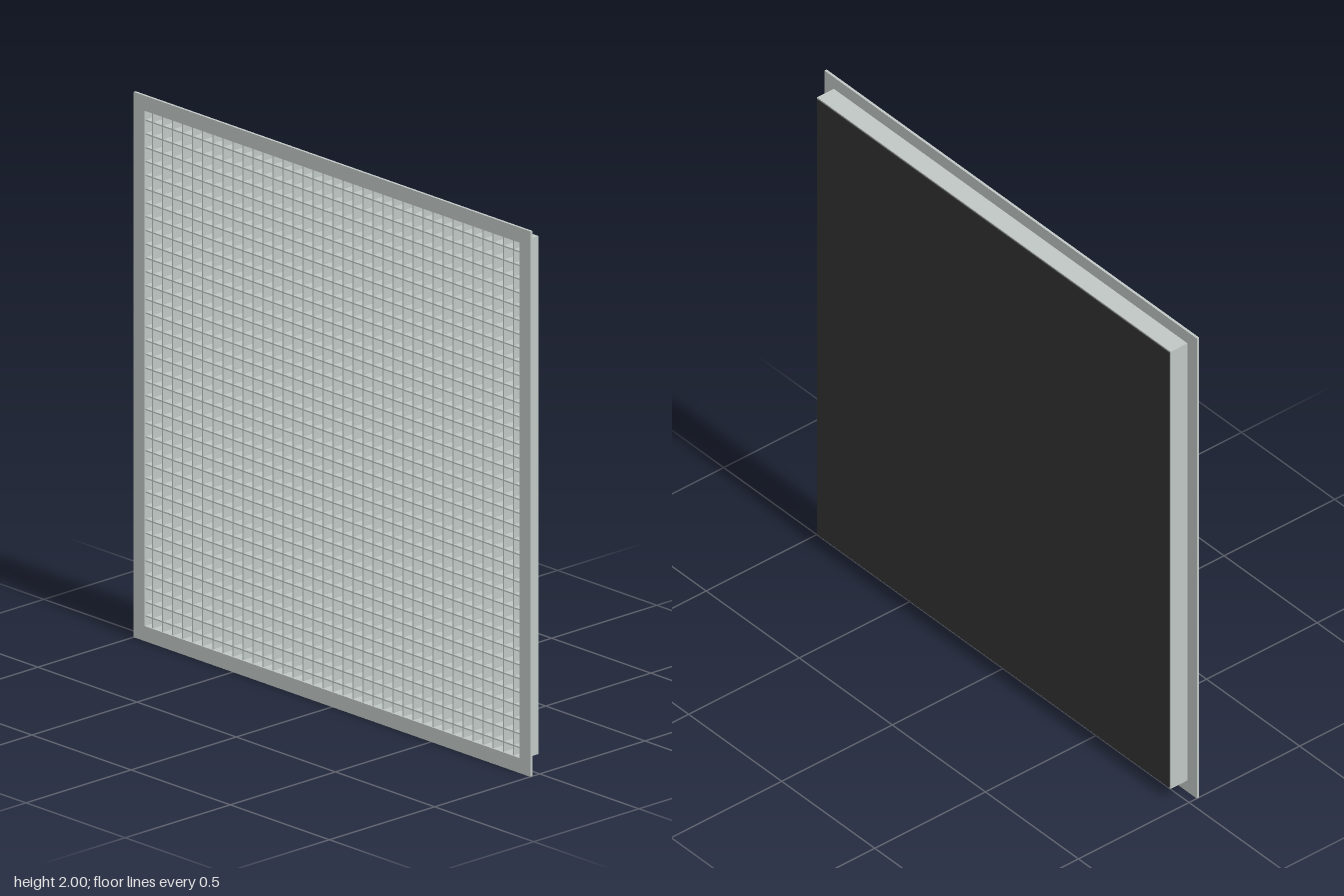
import * as THREE from 'three';

export function createModel() {
  const model = new THREE.Group();
  const metal = new THREE.MeshStandardMaterial({ name: 'pale grey metal', color: 0xc0c7c5 });
  const black = new THREE.MeshStandardMaterial({ name: 'black backing', color: 0x333333 });

  // Square ring with a square opening, extruded from z0 to z1
  function ring(name, outer, inner, z0, z1) {
    const square = (Type, r) => new Type([
      new THREE.Vector2(-r, -r), new THREE.Vector2(r, -r),
      new THREE.Vector2(r, r), new THREE.Vector2(-r, r),
    ]);
    const shape = square(THREE.Shape, outer);
    shape.holes.push(square(THREE.Path, inner));
    const geometry = new THREE.ExtrudeGeometry(shape, { depth: z1 - z0, bevelEnabled: false });
    const mesh = new THREE.Mesh(geometry, metal);
    mesh.name = name;
    mesh.position.set(0, 1, z0);
    model.add(mesh);
  }

  function box(parent, name, size, position, material) {
    const mesh = new THREE.Mesh(new THREE.BoxGeometry(...size), material);
    mesh.name = name;
    mesh.position.set(...position);
    parent.add(mesh);
  }

  // Flat front flange and the shallow collar behind it
  ring('frontFlange', 1, 0.945, 0.035, 0.045);
  ring('collar', 0.95, 0.945, -0.041, 0.035);

  // Egg-crate core: evenly spaced crossing slats
  const core = new THREE.Group();
  core.name = 'gridCore';
  model.add(core);
  const pitch = 0.0505, slat = 0.005, depth = 0.08;
  for (let i = -18; i <= 18; i++) {
    box(core, 'verticalSlat', [slat, 1.89, depth], [i * pitch, 1, 0], metal);
    box(core, 'horizontalSlat', [1.89, slat, depth], [0, 1 + i * pitch, 0], metal);
  }

  // Dark sheet closing the back
  box(model, 'backPanel', [1.89, 1.89, 0.005], [0, 1, -0.0425], black);

  return model;
}
